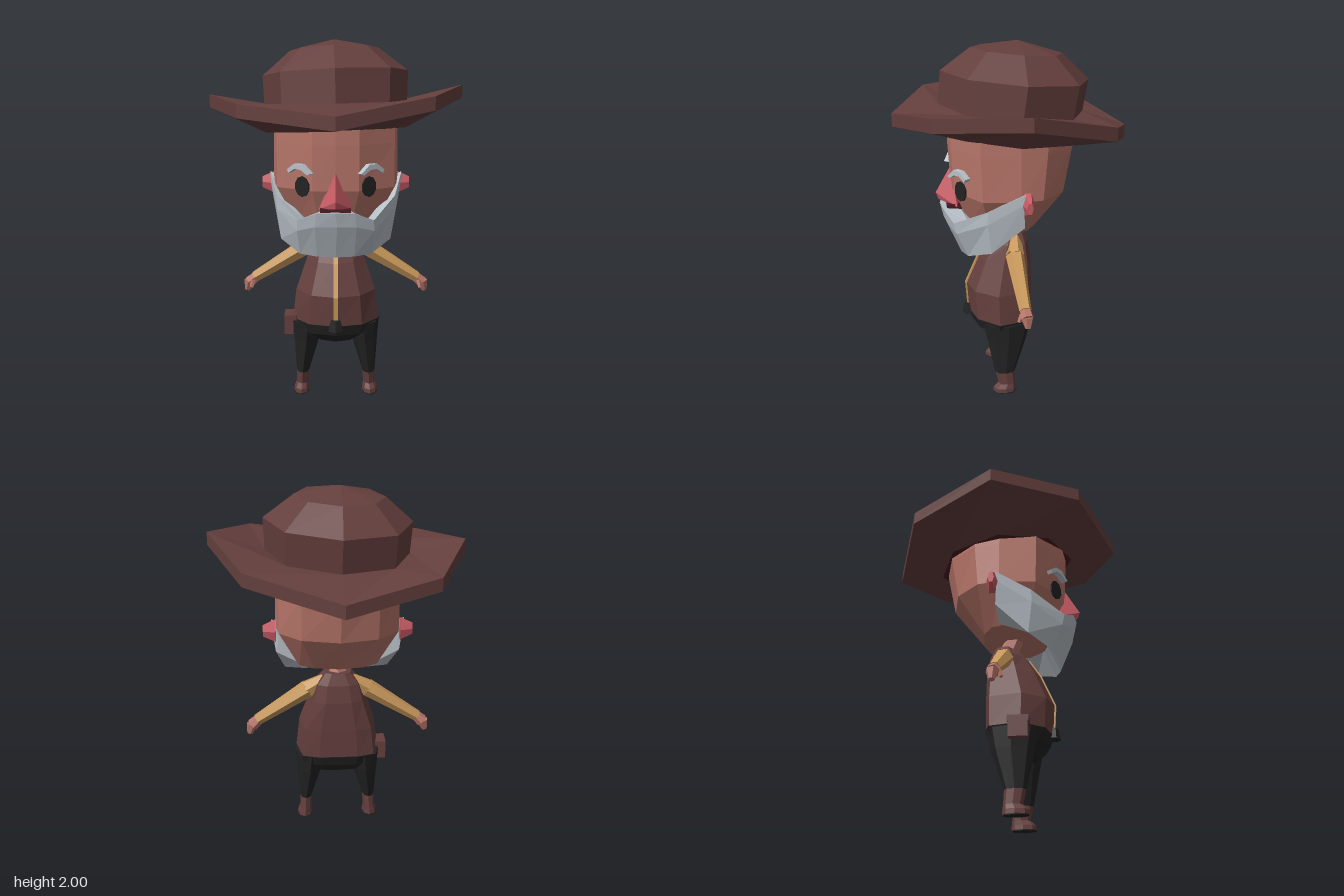
import * as THREE from 'three';
import { ConvexGeometry } from 'three/addons/geometries/ConvexGeometry.js';

const paint = (name, color) => {
  const m = new THREE.MeshStandardMaterial({ color });
  m.name = name;
  return m;
};

export function createModel() {
  const brown = paint('brown leather', 0x643f3d);
  const skin = paint('skin', 0xb8766a);
  const pink = paint('nose pink', 0xcb5d66);
  const grey = paint('beard grey', 0xb9c1c8);
  const black = paint('black cloth', 0x232323);
  const gold = paint('gold cloth', 0xc7975a);
  const maroon = paint('maroon lining', 0x4c1a24);

  const root = new THREE.Group();
  root.name = 'beardedHatFigure';

  // Adds a faceted mesh
  const add = (name, geo, mat, x = 0, y = 0, z = 0) => {
    const g = geo.index ? geo.toNonIndexed() : geo;
    g.computeVertexNormals();
    const mesh = new THREE.Mesh(g, mat);
    mesh.name = name;
    mesh.position.set(x, y, z);
    root.add(mesh);
    return mesh;
  };

  // Skins rings of [x, y, z] points (front towards +x) from bottom to top
  const loft = (rings, capBottom = true, capTop = true) => {
    const out = [];
    const n = rings[0].length;
    const tri = (...p) => p.forEach((v) => out.push(...v));
    for (let i = 0; i < rings.length - 1; i++) {
      for (let j = 0; j < n; j++) {
        const k = (j + 1) % n, lo = rings[i], hi = rings[i + 1];
        tri(lo[j], lo[k], hi[k]);
        tri(lo[j], hi[k], hi[j]);
      }
    }
    const cap = (ring, up) => {
      const c = [0, 1, 2].map((a) => ring.reduce((s, p) => s + p[a], 0) / n);
      ring.forEach((p, j) => {
        const q = ring[(j + 1) % n];
        if (up) tri(c, p, q); else tri(c, q, p);
      });
    };
    if (capBottom) cap(rings[0], false);
    if (capTop) cap(rings[rings.length - 1], true);
    const g = new THREE.BufferGeometry();
    g.setAttribute('position', new THREE.Float32BufferAttribute(out, 3));
    return g;
  };

  // Oval ring, and a ring mirrored from its +x half
  const oval = (n, x, y, z, rx, rz) => Array.from({ length: n }, (_, i) => {
    const a = (i / n) * Math.PI * 2;
    return [x + rx * Math.sin(a), y, z + rz * Math.cos(a)];
  });
  const mirrored = (half, y) => [
    ...half.map(([x, z]) => [x, y, z]),
    ...half.slice(1, -1).reverse().map(([x, z]) => [-x, y, z]),
  ];

  // Tapered limb between two points
  const limb = (name, a, b, ra, rb, mat, sides = 6) => {
    const A = new THREE.Vector3(...a), B = new THREE.Vector3(...b);
    const d = B.clone().sub(A);
    const m = add(name, new THREE.CylinderGeometry(rb, ra, d.length(), sides), mat);
    m.position.copy(A).add(B).multiplyScalar(0.5);
    m.quaternion.setFromUnitVectors(new THREE.Vector3(0, 1, 0), d.normalize());
    return m;
  };

  // Hat: tilted octagon rings, with a brim that curls up at the sides
  const hatRing = (y, r, curl = 0, rz = r, x = 0, z = 0) => oval(8, x, 0, z, r, rz).map(([px, , pz]) => {
    const a = Math.atan2(px, pz);
    return [px, y - curl * Math.cos(2 * a) + 0.085 * pz + 0.038 * px, pz];
  });
  const brimUnder = hatRing(1.515, 0.385);
  add('hat', loft([
    brimUnder,
    hatRing(1.59, 0.69, 0.075, 0.635),
    hatRing(1.66, 0.69, 0.075, 0.635),
    hatRing(1.65, 0.39),
    hatRing(1.825, 0.397, 0, 0.397, -0.003, -0.023),
    hatRing(1.952, 0.24, 0, 0.245, -0.01, -0.03),
    hatRing(2.003, 0.01, 0, 0.01, -0.01, -0.035),
  ], false, true), brown);
  add('hatLining', loft([brimUnder, hatRing(1.55, 0.3)], true, false), maroon);

  // Head, narrowing towards the jaw
  const headRing = (y, w, f, b) => mirrored(
    [[0, 1], [0.353, 0.97], [0.91, 0.58], [1, 0], [0.94, -0.4], [0.59, -0.83], [0, -1]]
      .map(([x, z]) => [x * w, z * (z > 0 ? f : b)]), y);
  add('head', loft([
    headRing(1.02, 0.23, 0.25, 0.13),
    headRing(1.23, 0.345, 0.335, 0.3),
    headRing(1.47, 0.342, 0.348, 0.35),
    headRing(1.6, 0.34, 0.35, 0.355),
  ]), skin);
  limb('neck', [0, 0.93, 0.0], [0, 1.05, 0.05], 0.055, 0.05, skin);

  // Nose and mouth
  add('nose', new ConvexGeometry([
    [0, 1.34, 0.335], [-0.09, 1.13, 0.31], [0.09, 1.13, 0.31], [0, 1.19, 0.42], [0, 1.15, 0.405], [0, 1.2, 0.28],
  ].map((p) => new THREE.Vector3(...p))), pink);
  add('mouth', new THREE.BoxGeometry(0.16, 0.03, 0.08), maroon, 0, 1.128, 0.325);

  // Beard: five-sided cross-sections swept from ear to ear
  const beardHalf = [
    [[0, 1.13, 0.4], [0, 0.87, 0.305]],
    [[0.1, 1.125, 0.385], [0.1, 0.872, 0.295]],
    [[0.2, 1.08, 0.34], [0.19, 0.88, 0.265]],
    [[0.32, 1.18, 0.17], [0.3, 0.935, 0.15]],
    [[0.368, 1.28, -0.02], [0.345, 1.09, -0.02]],
  ];
  const beardSection = ([t, b], s) => [
    [s * t[0], t[1], t[2]],
    [s * (t[0] * 0.5 + b[0] * 0.5 + 0.008), t[1] * 0.7 + b[1] * 0.3, t[2] * 0.72 + b[2] * 0.28 + 0.008],
    [s * b[0], b[1], b[2]],
    [s * b[0] * 0.68, 1.03, b[2] * 0.75],
    [s * t[0] * 0.86, t[1] - 0.01, t[2] * 0.78 - 0.01],
  ];
  add('beard', loft([
    ...beardHalf.slice(1).reverse().map((p) => beardSection(p, -1)),
    ...beardHalf.map((p) => beardSection(p, 1)),
  ].map((r) => r.reverse())), grey).material.side = THREE.DoubleSide;

  // Torso and trousers share one body section
  const bodyRing = (y, w, f, b) => {
    const c = (f - b) / 2;
    return mirrored([[0, f], [w * 0.6, f - (f - c) * 0.22], [w, c + 0.02], [w * 0.85, -b * 0.7], [w * 0.45, -b], [0, -b]], y);
  };
  add('vest', loft([
    bodyRing(0.455, 0.243, 0.252, 0.095),
    bodyRing(0.63, 0.222, 0.264, 0.1),
    bodyRing(0.8, 0.163, 0.19, 0.1),
    bodyRing(0.9, 0.135, 0.125, 0.085),
    bodyRing(0.965, 0.08, 0.05, 0.06),
  ]), brown);
  add('trouserHips', loft([
    bodyRing(0.345, 0.13, 0.18, 0.04),
    bodyRing(0.4, 0.225, 0.235, 0.08),
    bodyRing(0.46, 0.25, 0.255, 0.1),
  ]), black);

  // Zip strip and buckle
  const strip = [[0.49, 0.256], [0.63, 0.265], [0.8, 0.191], [0.9, 0.126]];
  add('zip', loft(strip.map(([y, z]) => [
    [-0.012, y, z + 0.005], [0.012, y, z + 0.005], [0.012, y, z - 0.004], [-0.012, y, z - 0.004],
  ])), gold);
  limb('buckle', [0, 0.44, 0.245], [0, 0.5, 0.25], 0.045, 0.028, black);

  // Hip pouch on the right
  add('pouch', new THREE.BoxGeometry(0.05, 0.09, 0.1), brown, -0.265, 0.42, 0.09);
  add('pouchFlap', new THREE.BoxGeometry(0.07, 0.03, 0.11), brown, -0.255, 0.472, 0.09);

  for (const s of [1, -1]) {
    const side = s > 0 ? 'left' : 'right';
    const turn = s * 0.6;

    // Ear, eye and brow
    const ear = new THREE.CylinderGeometry(0.035, 0.07, 0.07, 6).rotateZ(-s * Math.PI / 2).scale(1, 1, 0.5);
    add(side + 'Ear', ear, pink, s * 0.378, 1.22, -0.035);
    const eye = new THREE.CylinderGeometry(0.045, 0.045, 0.009, 10).rotateX(Math.PI / 2).scale(1, 1.22, 1).rotateY(turn);
    add(side + 'Eye', eye, black, s * 0.174, 1.25, 0.296);
    const arch = [[-0.072, -0.025], [-0.02, 0.02], [0.03, 0.02], [0.075, -0.012], [0.065, -0.03], [0.025, -0.005], [-0.015, -0.008], [-0.055, -0.033]];
    const brow = new THREE.ExtrudeGeometry(
      new THREE.Shape(arch.map(([x, y]) => new THREE.Vector2(s * x, y))), { depth: 0.04, bevelEnabled: false }).rotateY(turn);
    add(side + 'Brow', brow, grey, s * 0.17, 1.35, 0.288);

    // Arm and hand
    limb(side + 'Shoulder', [s * 0.07, 0.92, -0.01], [s * 0.17, 0.855, 0.005], 0.035, 0.052, gold);
    limb(side + 'Sleeve', [s * 0.17, 0.855, 0.005], [s * 0.465, 0.67, -0.005], 0.052, 0.033, gold);
    limb(side + 'Palm', [s * 0.455, 0.675, -0.005], [s * 0.495, 0.64, -0.01], 0.03, 0.036, skin);
    limb(side + 'Fingers', [s * 0.495, 0.645, -0.01], [s * 0.512, 0.59, -0.012], 0.035, 0.016, skin);
    limb(side + 'Thumb', [s * 0.475, 0.655, 0.015], [s * 0.483, 0.615, 0.032], 0.015, 0.011, skin, 5);

    // Leg, boot and sole
    add(side + 'Leg', loft([
      oval(8, s * 0.19, 0.13, 0.065, 0.036, 0.058),
      oval(8, s * 0.165, 0.34, 0.05, 0.075, 0.115),
      oval(8, s * 0.155, 0.45, 0.05, 0.094, 0.14),
    ]), black);
    add(side + 'Boot', loft([
      oval(8, s * 0.198, 0.006, 0.068, 0.044, 0.068),
      oval(8, s * 0.198, 0.03, 0.068, 0.042, 0.066),
      oval(8, s * 0.194, 0.055, 0.055, 0.034, 0.05),
      oval(8, s * 0.19, 0.13, 0.065, 0.035, 0.056),
    ]), brown);
    add(side + 'Sole', loft([0, 0.006].map((y) => oval(8, s * 0.198, y, 0.068, 0.044, 0.068))), black);
  }
  return root;
}
